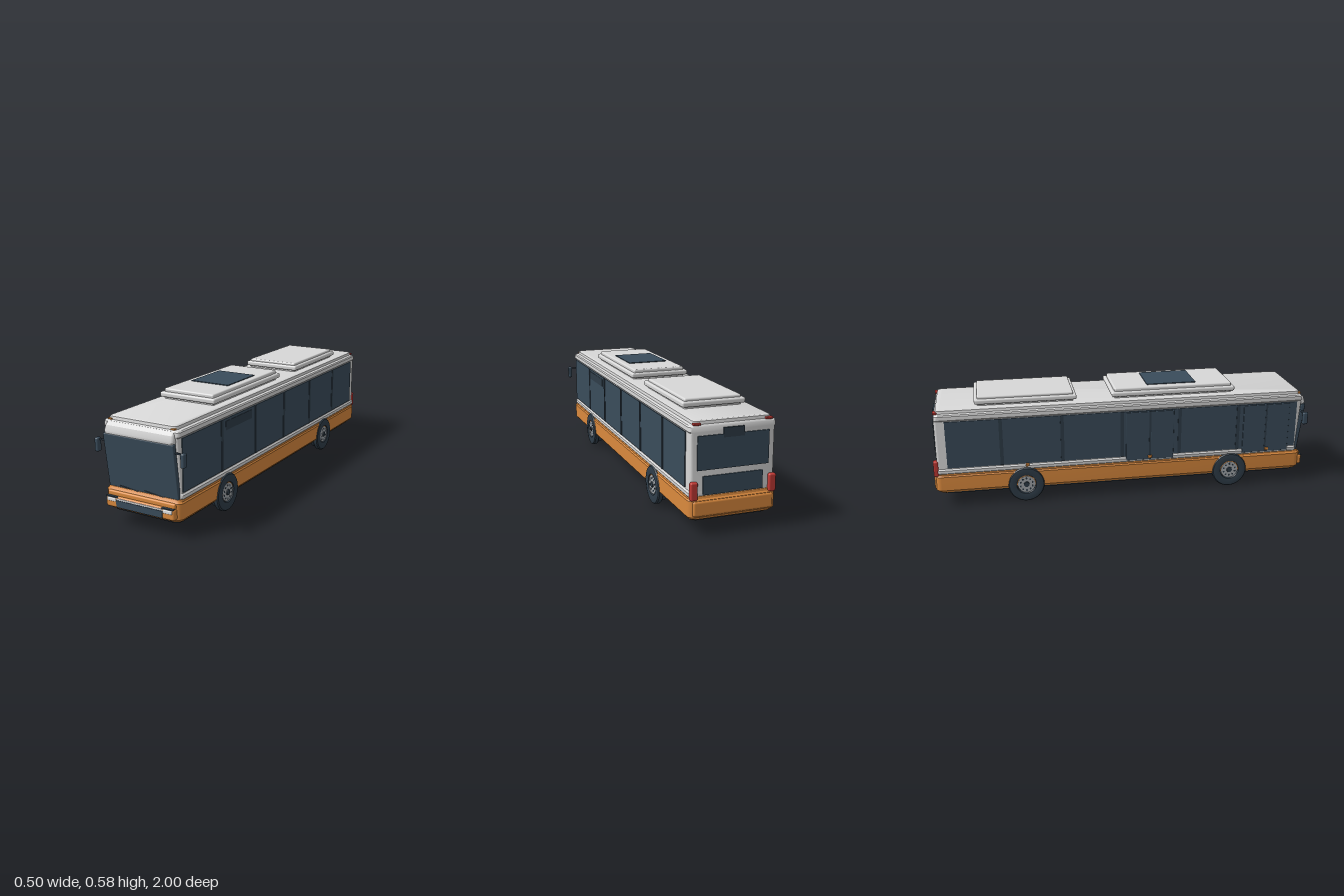
import * as THREE from 'three';
import { toCreasedNormals } from 'three/addons/utils/BufferGeometryUtils.js';
import { RoundedBoxGeometry } from 'three/addons/geometries/RoundedBoxGeometry.js';

const mat = (name, color) => Object.assign(new THREE.MeshStandardMaterial({ color }), { name });

// Stacked rounded rectangles: each level is [y, halfWidth, zFront, zBack, cornerRadius]
function loft(levels, steps = 5) {
  const pos = [], idx = [];
  const n = 4 * (steps + 1);
  for (const [y, hw, zf, zb, r] of levels) {
    const corners = [[hw - r, zb + r], [-hw + r, zb + r], [-hw + r, zf - r], [hw - r, zf - r]];
    corners.forEach(([cx, cz], c) => {
      for (let s = 0; s <= steps; s++) {
        const a = (c + s / steps) * Math.PI / 2;
        pos.push(cx + r * Math.cos(a), y, cz - r * Math.sin(a));
      }
    });
  }
  const last = levels.length - 1;
  for (let i = 0; i < last; i++) {
    for (let k = 0; k < n; k++) {
      const a = i * n + k, b = i * n + (k + 1) % n;
      idx.push(a, b, b + n, a, b + n, a + n);
    }
  }
  for (let k = 1; k < n - 1; k++) {
    idx.push(0, k + 1, k, last * n, last * n + k, last * n + k + 1);
  }
  const g = new THREE.BufferGeometry();
  g.setAttribute('position', new THREE.Float32BufferAttribute(pos, 3));
  g.setIndex(idx);
  return toCreasedNormals(g, 0.5);
}

export function createModel() {
  const bus = new THREE.Group();
  bus.name = 'cityBus';
  const white = mat('bodyWhite', 0xd8d8d8);
  const orange = mat('skirtOrange', 0xdb8a3e);
  const dark = mat('darkGlass', 0x3a4c5b);
  const trim = mat('darkTrim', 0x2f3d49);
  const red = mat('lampRed', 0xc23a35);
  const metal = mat('wheelMetal', 0xa3a8ac);
  const lamp = mat('lampClear', 0xe6e6e6);

  const add = (name, geo, m, x = 0, y = 0, z = 0, parent = bus) => {
    const mesh = new THREE.Mesh(geo, m);
    mesh.name = name;
    mesh.position.set(x, y, z);
    parent.add(mesh);
    return mesh;
  };
  // Box given by its limits
  const box = (name, m, x0, x1, y0, y1, z0, z1, r = 0) => {
    const s = [x1 - x0, y1 - y0, z1 - z0];
    const g = r ? new RoundedBoxGeometry(...s, 3, r) : new THREE.BoxGeometry(...s);
    return add(name, g, m, (x0 + x1) / 2, (y0 + y1) / 2, (z0 + z1) / 2);
  };

  // Floor, skirt and upper body
  add('chassis', loft([[0.063, 0.185, 0.95, -0.96, 0.03], [0.08, 0.2, 0.965, -0.975, 0.03]]), trim);
  add('skirt', loft([
    [0.075, 0.198, 0.965, -0.98, 0.03], [0.09, 0.211, 0.975, -0.994, 0.03],
    [0.165, 0.212, 0.975, -0.994, 0.03], [0.172, 0.207, 0.97, -0.988, 0.03], [0.183, 0.207, 0.965, -0.986, 0.03],
  ]), orange);
  add('upperBody', loft([
    [0.18, 0.206, 0.948, -0.982, 0.015], [0.185, 0.21, 0.95, -0.982, 0.015], [0.2, 0.21, 0.95, -0.982, 0.015],
    [0.208, 0.203, 0.95, -0.982, 0.015], [0.468, 0.203, 0.968, -0.982, 0.015],
    [0.474, 0.209, 0.97, -0.982, 0.015], [0.494, 0.209, 0.968, -0.98, 0.02], [0.5, 0.204, 0.963, -0.976, 0.02],
    [0.503, 0.188, 0.958, -0.972, 0.02], [0.517, 0.186, 0.955, -0.97, 0.02], [0.521, 0.178, 0.948, -0.962, 0.02],
  ]), white);

  // Side glazing with pillars
  for (const s of [-1, 1]) {
    add('sideWindows', new THREE.BoxGeometry(0.009, 0.252, 1.868), dark, s * 0.203, 0.339, 0.005);
    for (const z of [0.612, 0.29, -0.02, -0.335, -0.65]) {
      add('windowPillar', new THREE.BoxGeometry(0.008, 0.252, 0.018), trim, s * 0.206, 0.339, z);
    }
  }
  box('ventWindow', trim, 0.2, 0.2095, 0.408, 0.452, 0.335, 0.58);

  // Two double doors on the kerb side
  for (const z of [0.13, 0.77]) {
    for (const e of [-1, 1]) {
      const zc = z + e * 0.066;
      box('doorLeaf', dark, -0.2115, -0.203, 0.19, 0.46, zc - 0.062, zc + 0.062, 0.002);
    }
    box('doorSeal', trim, -0.2125, -0.203, 0.19, 0.46, z - 0.005, z + 0.005);
  }
  for (const z of [0.13, 0.78, -0.52]) {
    box('sideMarker', orange, -0.217, -0.205, 0.198, 0.214, z - 0.01, z + 0.01, 0.003);
  }

  // Forward-leaning windscreen with wipers and header
  const screen = new THREE.Group();
  screen.name = 'windscreenGroup';
  screen.position.set(0, 0.307, 0.972);
  screen.rotation.x = Math.atan2(0.033, 0.275);
  bus.add(screen);
  add('windscreen', new RoundedBoxGeometry(0.39, 0.277, 0.022, 3, 0.005), dark, 0, 0, -0.006, screen);
  for (const x of [-0.07, 0.068]) {
    const wiper = add('wiper', new THREE.CylinderGeometry(0.0015, 0.0015, 0.115, 6), trim, x, -0.12, 0.008, screen);
    wiper.rotation.z = Math.PI / 2 - 0.12;
  }
  add('header', loft([
    [0.443, 0.19, 0.99, 0.93, 0.015], [0.455, 0.192, 0.992, 0.93, 0.015],
    [0.482, 0.188, 0.984, 0.93, 0.015], [0.498, 0.184, 0.966, 0.93, 0.015],
  ]), white);

  // Front bumper, grille and headlamps
  box('frontBumper', orange, -0.193, 0.193, 0.09, 0.146, 0.93, 0.996, 0.012);
  box('bumperLedge', orange, -0.19, 0.19, 0.14, 0.168, 0.93, 0.984, 0.008);
  box('grille', dark, -0.13, 0.13, 0.096, 0.13, 0.98, 0.999);
  box('grilleBar', lamp, -0.128, 0.128, 0.131, 0.139, 0.98, 0.998);
  for (const s of [-1, 1]) {
    const pair = (name, m, x0, x1, ...rest) => box(name, m, Math.min(s * x0, s * x1), Math.max(s * x0, s * x1), ...rest);
    pair('headlamp', lamp, 0.131, 0.182, 0.121, 0.14, 0.97, 1, 0.005);
    pair('headlampBrow', trim, 0.125, 0.188, 0.141, 0.146, 0.97, 0.998);
    pair('roofMarkerFront', orange, 0.163, 0.184, 0.503, 0.509, 0.945, 0.963);
    // Mirrors on short arms
    pair('mirrorArm', trim, 0.19, 0.24, 0.401, 0.408, 0.97, 0.978);
    pair('mirror', dark, 0.227, 0.249, 0.345, 0.413, 0.963, 0.992, 0.008);
    // Rear lamps
    pair('tailLamp', red, 0.172, 0.207, 0.168, 0.252, -1, -0.975, 0.008);
    pair('roofMarkerRear', red, 0.155, 0.19, 0.501, 0.511, -0.984, -0.962, 0.003);
  }

  // Tail
  box('rearBumper', orange, -0.195, 0.195, 0.092, 0.165, -1, -0.95, 0.012);
  box('rearWindow', dark, -0.172, 0.172, 0.3, 0.455, -0.987, -0.98);
  box('rearSign', trim, -0.05, 0.05, 0.44, 0.484, -0.989, -0.98);
  box('engineGrille', dark, -0.145, 0.145, 0.186, 0.272, -0.987, -0.98);

  // Roof pods
  for (const [zf, zb, top] of [[0.6, -0.065, 0.573], [-0.25, -0.775, 0.569]]) {
    box('podBase', white, -0.142, 0.142, 0.51, top, zb + 0.016, zf - 0.016, 0.008);
    box('podRim', white, -0.158, 0.158, 0.53, 0.556, zb, zf, 0.009);
  }
  box('roofPanel', dark, -0.108, 0.108, 0.57, 0.577, 0.13, 0.395);

  // Wheels
  const tyre = new THREE.LatheGeometry([
    [0.05, -0.03], [0.08, -0.03], [0.082, -0.004], [0.092, -0.004], [0.095, 0],
    [0.095, 0.018], [0.09, 0.024], [0.07, 0.027], [0.052, 0.024], [0.048, 0.015],
  ].map(([r, y]) => new THREE.Vector2(r, y)), 40);
  for (const s of [-1, 1]) {
    for (const z of [0.575, -0.53]) {
      const wheel = new THREE.Group();
      wheel.name = 'wheel';
      wheel.position.set(s * 0.192, 0.095, z);
      wheel.rotation.z = -s * Math.PI / 2;
      bus.add(wheel);
      add('tyre', toCreasedNormals(tyre, 0.6), trim, 0, 0, 0, wheel);
      add('innerHub', new THREE.CylinderGeometry(0.052, 0.052, 0.004, 32), trim, 0, -0.028, 0, wheel);
      add('rim', new THREE.CylinderGeometry(0.046, 0.05, 0.03, 32), metal, 0, 0.006, 0, wheel);
      add('hubCap', new THREE.CylinderGeometry(0.014, 0.016, 0.008, 16), trim, 0, 0.022, 0, wheel);
      for (let i = 0; i < 10; i++) {
        const a = i * Math.PI / 5;
        add('rimHole', new THREE.CylinderGeometry(0.005, 0.005, 0.002, 10), trim, 0.033 * Math.cos(a), 0.021, 0.033 * Math.sin(a), wheel);
      }
    }
  }
  return bus;
}
